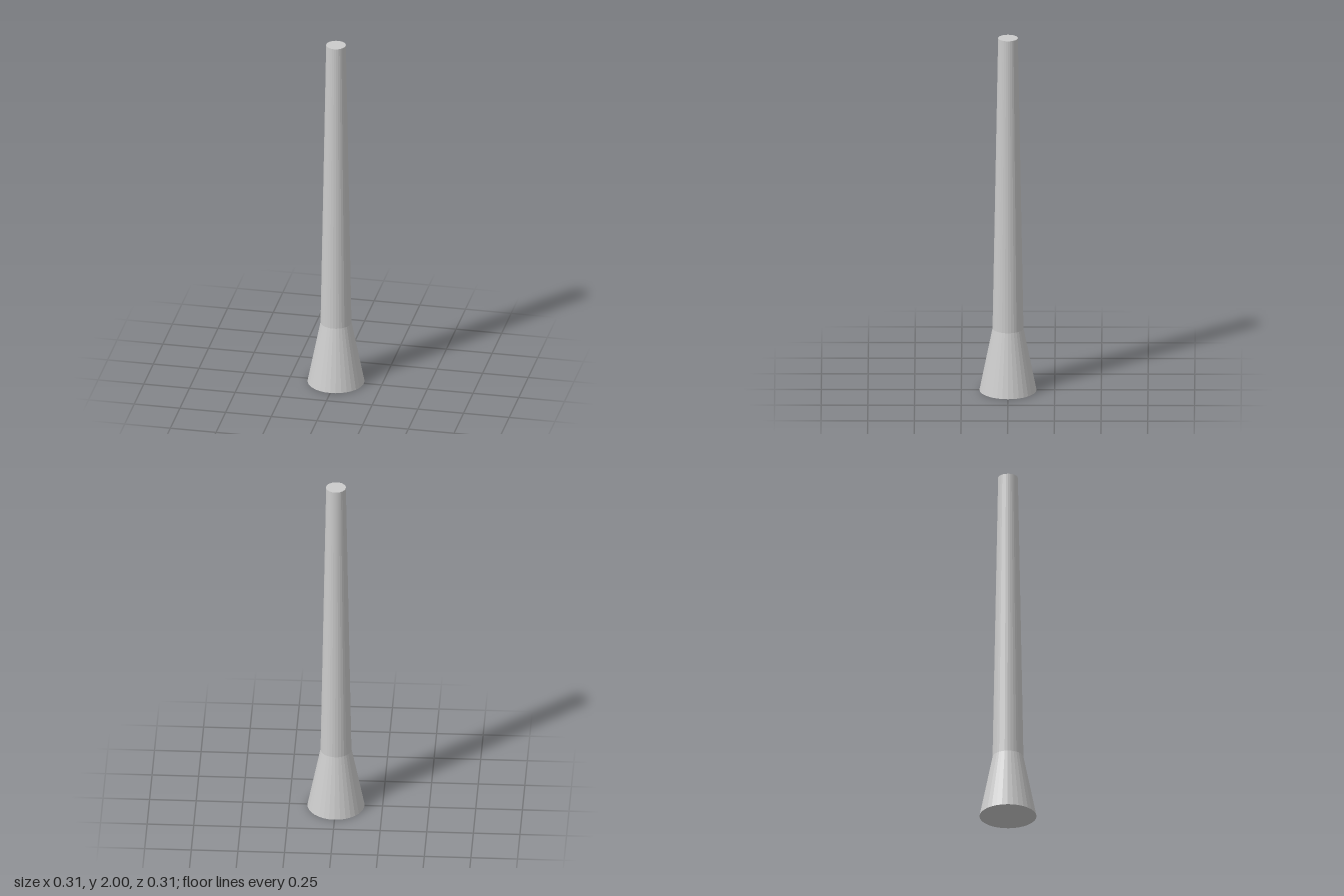
import * as THREE from 'three';

const SIDES = 32;
const BREAK_Y = 0.35;

export function createModel() {
  const group = new THREE.Group();
  group.name = 'taperedPost';
  const material = new THREE.MeshStandardMaterial({ color: 0xcccccc, flatShading: true });

  // Faceted ring section between two heights
  const section = (name, topRadius, bottomRadius, y0, y1) => {
    const geometry = new THREE.CylinderGeometry(topRadius, bottomRadius, y1 - y0, SIDES, 1, true);
    const mesh = new THREE.Mesh(geometry, material);
    mesh.name = name;
    mesh.position.y = (y0 + y1) / 2;
    group.add(mesh);
  };

  // Flat disc closing one end
  const cap = (name, radius, y, facing) => {
    const mesh = new THREE.Mesh(new THREE.CircleGeometry(radius, SIDES), material);
    mesh.name = name;
    mesh.rotation.x = -facing * Math.PI / 2;
    mesh.position.y = y;
    group.add(mesh);
  };

  section('flaredBase', 0.083, 0.153, 0, BREAK_Y);
  section('shaft', 0.053, 0.083, BREAK_Y, 2);
  cap('topCap', 0.053, 2, 1);
  cap('bottomCap', 0.153, 0, -1);

  return group;
}
